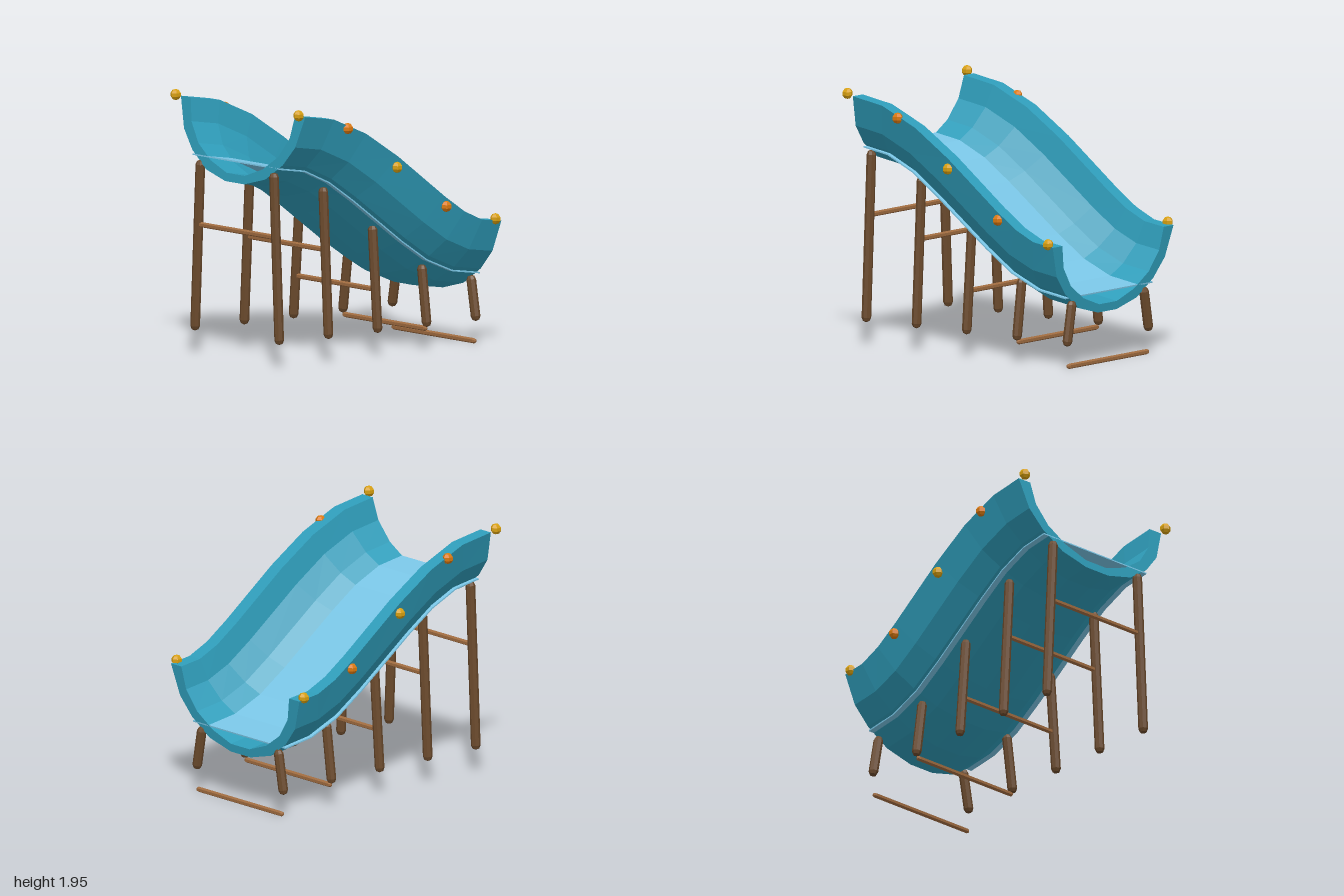
import * as THREE from 'three';

const mat = (name, color) => {
  const m = new THREE.MeshStandardMaterial({ color });
  m.name = name;
  return m;
};

// Faceted normals
function facet(geometry) {
  const g = geometry.index ? geometry.toNonIndexed() : geometry;
  g.computeVertexNormals();
  return g;
}

// Sweep a closed counter-clockwise profile [x, t] along stations, front to back.
// Each station gives the lower (t = 0) and upper (t = 1) points as [z, y].
function sweep(profile, stations) {
  const n = profile.length;
  const pos = [];
  const idx = [];
  for (const [lo, hi] of stations) {
    for (const [x, t] of profile) {
      pos.push(x, lo[1] + (hi[1] - lo[1]) * t, lo[0] + (hi[0] - lo[0]) * t);
    }
  }
  for (let s = 0; s < stations.length - 1; s++) {
    for (let i = 0; i < n; i++) {
      const j = (i + 1) % n;
      const a = s * n + i, b = s * n + j, c = a + n, d = b + n;
      idx.push(a, c, d, a, d, b);
    }
  }
  // End caps
  const last = (stations.length - 1) * n;
  const tris = THREE.ShapeUtils.triangulateShape(profile.map(([x, t]) => new THREE.Vector2(x, t)), []);
  for (const [a, b, c] of tris) {
    idx.push(a, b, c, last + a, last + c, last + b);
  }
  const g = new THREE.BufferGeometry();
  g.setAttribute('position', new THREE.Float32BufferAttribute(pos, 3));
  g.setIndex(idx);
  return facet(g);
}

// Round bar with blunt ends between two points
function bar(name, from, to, radius, sides, material) {
  const a = new THREE.Vector3(...from), b = new THREE.Vector3(...to);
  const dir = b.clone().sub(a);
  const g = new THREE.CapsuleGeometry(radius, dir.length() - 2 * radius, 2, sides);
  const mesh = new THREE.Mesh(facet(g), material);
  mesh.name = name;
  mesh.position.copy(a).add(b).multiplyScalar(0.5);
  mesh.quaternion.setFromUnitVectors(new THREE.Vector3(0, 1, 0), dir.normalize());
  return mesh;
}

export function createModel() {
  const teal = mat('teal', 0x2f9dba);
  const lightBlue = mat('light blue', 0x7ac6e6);
  const darkWood = mat('dark wood', 0x6b4a2c);
  const lightWood = mat('light wood', 0xa06c40);
  const gold = mat('gold', 0xd8a010);
  const orange = mat('orange', 0xdc7a10);

  const model = new THREE.Group();
  model.name = 'slide';

  // Chute path: underside and rim points at each station
  const stations = [
    [[0.98, 1.337], [0.9, 1.9]],
    [[0.775, 1.305], [0.62, 1.855]],
    [[0.57, 1.21], [0.31, 1.72]],
    [[0.37, 1.07], [0, 1.52]],
    [[-0.11, 0.717], [-0.45, 1.18]],
    [[-0.37, 0.545], [-0.64, 1.05]],
    [[-0.65, 0.43], [-0.81, 0.972]],
    [[-0.94, 0.385], [-0.995, 0.947]],
  ];
  const mirror = (half) => half.map(([x, t]) => [-x, t]).concat([...half].reverse());
  const outer = mirror([[0.715, 1], [0.64, 0.587], [0.52, 0.33], [0.34, 0.108], [0.11, 0]]);
  const inner = mirror([[0.6, 1], [0.565, 0.695], [0.46, 0.43], [0.3, 0.235], [0.104, 0.11]]);

  const chute = new THREE.Mesh(sweep([...outer, ...inner.reverse()], stations), teal);
  chute.name = 'chute';
  model.add(chute);

  // Flat sliding surface set into the chute
  const bed = [[-0.515, 0.265], [0.515, 0.265], [0.515, 0.283], [-0.515, 0.283]];
  const surface = new THREE.Mesh(sweep(bed, stations), lightBlue);
  surface.name = 'slidingSurface';
  model.add(surface);

  // Five frames: splayed legs, a rung and a pair of rim knobs
  const legTops = [1.46, 1.31, 0.98, 0.64, 0.515];
  const rungHeights = [0.975, 0.84, 0.5, 0.163, 0.025];
  const knobHeights = [1.915, 1.775, 1.44, 1.103, 0.965];
  const knobGeometry = facet(new THREE.SphereGeometry(0.042, 6, 5).rotateY(Math.PI / 6));

  legTops.forEach((top, i) => {
    const z = 0.957 - i * 0.4755;
    const frame = new THREE.Group();
    frame.name = 'frame' + (i + 1);
    for (const side of [1, -1]) {
      const word = side > 0 ? 'left' : 'right';
      frame.add(bar(word + 'Leg', [side * 0.485, 0.175, z], [side * 0.422, top, z], 0.036, 8, darkWood));
      const knob = new THREE.Mesh(knobGeometry, i % 2 ? orange : gold);
      knob.name = word + 'Knob';
      knob.position.set(side * 0.707, knobHeights[i], z);
      frame.add(knob);
    }
    const y = rungHeights[i];
    frame.add(bar('rung', [-0.48, y, z], [0.48, y, z], 0.02, 6, lightWood));
    model.add(frame);
  });

  return model;
}
